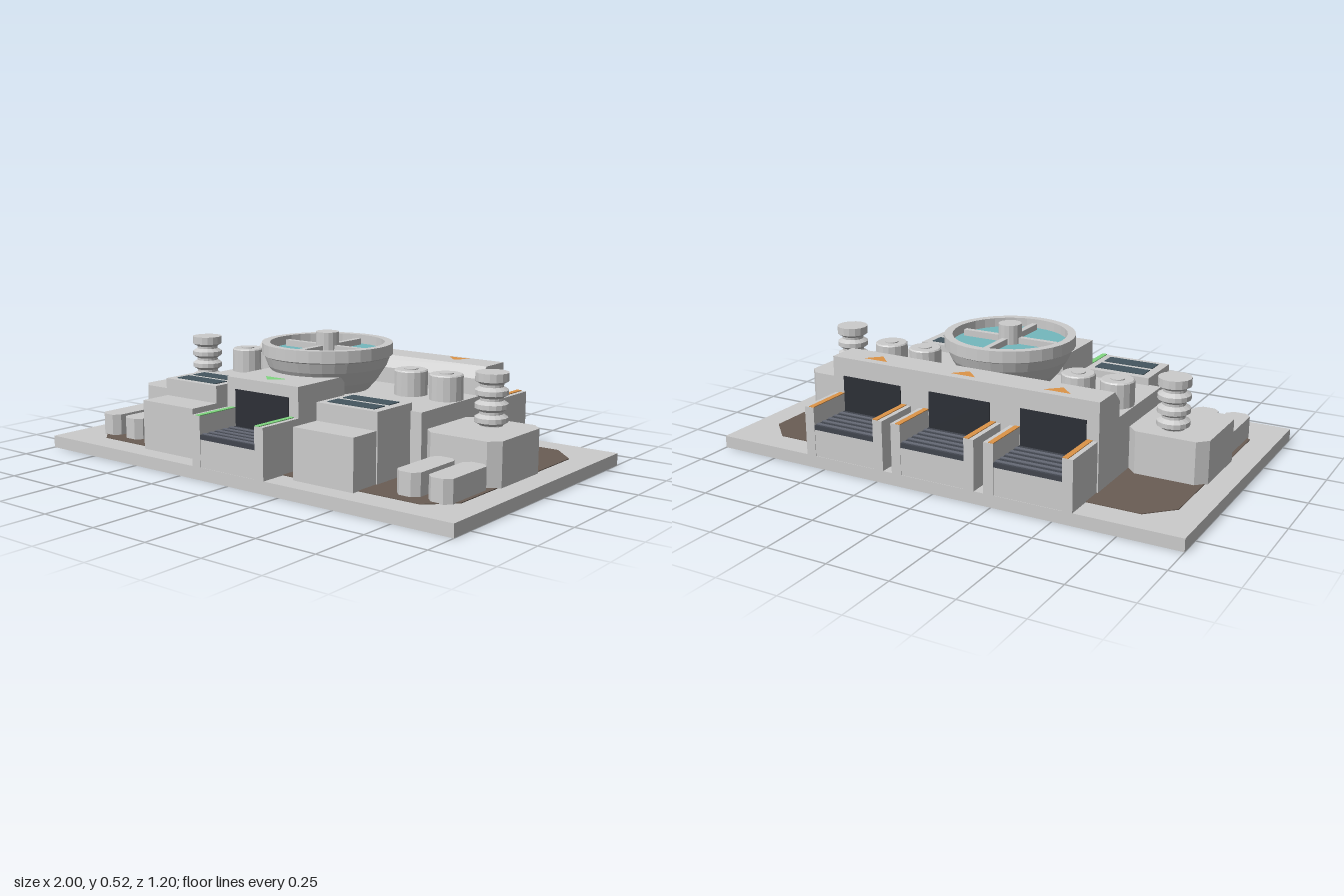
import * as THREE from 'three';

const mat = (color, extra = {}) => new THREE.MeshStandardMaterial({ color, ...extra });
const GREY = mat(0xcccccc, { flatShading: true });
const BROWN = mat(0x6a5d54);
const DARK = mat(0x2c2f36);
const BELT = mat(0x41454e);
const SLAT = mat(0x666a76);
const ORANGE = mat(0xdd9448);
const GREEN = mat(0x80d880);
const TEAL = mat(0x74b8be);
const SCREEN = mat(0x44565f);

function add(parent, name, geometry, material = GREY) {
  const mesh = new THREE.Mesh(geometry, material);
  mesh.name = name;
  parent.add(mesh);
  return mesh;
}

// Box given by its minimum and maximum along each axis
function box(parent, name, x0, x1, y0, y1, z0, z1, material) {
  const g = new THREE.BoxGeometry(x1 - x0, y1 - y0, z1 - z0);
  g.translate((x0 + x1) / 2, (y0 + y1) / 2, (z0 + z1) / 2);
  return add(parent, name, g, material);
}

// Upright block with its four vertical edges chamfered
function octBlock(parent, name, x, z, w, d, y0, y1, c, material) {
  const a = w / 2, b = d / 2;
  const shape = new THREE.Shape([
    [-a + c, -b], [a - c, -b], [a, -b + c], [a, b - c],
    [a - c, b], [-a + c, b], [-a, b - c], [-a, -b + c],
  ].map(p => new THREE.Vector2(...p)));
  const g = new THREE.ExtrudeGeometry(shape, { depth: y1 - y0, bevelEnabled: false });
  g.rotateX(-Math.PI / 2).translate(x, y0, z);
  return add(parent, name, g, material);
}

function lathe(parent, name, points, segments, material) {
  return add(parent, name, new THREE.LatheGeometry(points.map(p => new THREE.Vector2(...p)), segments), material);
}

// Flat marker whose tip points to +z
function arrow(parent, name, x, y, z, material) {
  const shape = new THREE.Shape([[-0.055, 0.027], [0, -0.027], [0.055, 0.027]].map(p => new THREE.Vector2(...p)));
  const g = new THREE.ShapeGeometry(shape).rotateX(-Math.PI / 2).translate(x, y, z);
  return add(parent, name, g, material);
}

// Conveyor port reaching from z = 0.4 out to z = 0.6
function port(name, accent) {
  const g = new THREE.Group();
  g.name = name;
  for (const s of [-1, 1]) {
    const xs = (a, b) => (s > 0 ? [a, b] : [-b, -a]);
    box(g, 'portSideWall', ...xs(0.138, 0.18), 0.05, 0.25, 0.4, 0.6);
    box(g, 'portAccentStrip', ...xs(0.138, 0.16), 0.25, 0.253, 0.4, 0.598, accent);
  }
  box(g, 'portSill', -0.138, 0.138, 0.05, 0.16, 0.4, 0.598);
  box(g, 'conveyorBelt', -0.138, 0.138, 0.16, 0.178, 0.4, 0.599, BELT);
  for (let i = 0; i < 5; i++) {
    const z = 0.425 + i * 0.037;
    box(g, 'beltSlat', -0.138, 0.138, 0.178, 0.181, z, z + 0.015, SLAT);
  }
  box(g, 'portOpening', -0.135, 0.135, 0.178, 0.325, 0.395, 0.404, DARK);
  return g;
}

export function createModel() {
  const model = new THREE.Group();
  model.name = 'factoryMachine';

  // Ground plate and worn floor
  box(model, 'basePlate', -1, 1, 0, 0.05, -0.6, 0.6);
  octBlock(model, 'floorPatch', 0, 0, 1.79, 0.98, 0.05, 0.053, 0.1, BROWN);

  // Main body with the raised back bank
  box(model, 'mainBody', -0.585, 0.585, 0.05, 0.29, -0.24, 0.18);
  const profile = new THREE.Shape([
    [-0.4, 0.05], [-0.225, 0.05], [-0.225, 0.355], [-0.27, 0.4], [-0.4, 0.4],
  ].map(p => new THREE.Vector2(...p)));
  const bank = new THREE.ExtrudeGeometry(profile, { depth: 1.17, bevelEnabled: false });
  bank.rotateY(-Math.PI / 2).translate(0.585, 0, 0);
  add(model, 'backBank', bank);

  // Three ports at the back, one at the front
  for (const x of [-0.4, 0, 0.4]) {
    const p = port('backPort', ORANGE);
    p.rotation.y = Math.PI;
    p.position.x = x;
    model.add(p);
    arrow(model, 'backArrow', x, 0.403, -0.345, ORANGE);
  }
  box(model, 'frontPortTower', -0.18, 0.18, 0.05, 0.37, 0.12, 0.4);
  model.add(port('frontPort', GREEN));
  arrow(model, 'frontArrow', 0, 0.373, 0.342, GREEN);

  // Central dish with a glazed top, cross bars and hub
  lathe(model, 'dish', [
    [0, 0.285], [0.165, 0.285], [0.205, 0.33], [0.24, 0.385], [0.255, 0.425],
    [0.265, 0.43], [0.265, 0.477], [0.232, 0.477], [0.232, 0.43],
  ], 32, mat(0xcccccc, { flatShading: true, side: THREE.DoubleSide }));
  const glass = new THREE.CircleGeometry(0.233, 32).rotateX(-Math.PI / 2).translate(0, 0.44, 0);
  add(model, 'dishGlass', glass, TEAL);
  box(model, 'dishBarAcross', -0.21, 0.21, 0.44, 0.465, -0.012, 0.012);
  box(model, 'dishBarAlong', -0.012, 0.012, 0.44, 0.465, -0.21, 0.21);
  add(model, 'dishHub', new THREE.CylinderGeometry(0.047, 0.047, 0.085, 16).translate(0, 0.4755, 0));

  // Parts mirrored on both sides
  for (const s of [-1, 1]) {
    const side = new THREE.Group();
    side.name = s > 0 ? 'leftSide' : 'rightSide';
    model.add(side);
    const xs = (a, b) => (s > 0 ? [a, b] : [-b, -a]);

    // Console with two screens and a lower box before it
    box(side, 'console', ...xs(0.255, 0.535), 0.05, 0.32, 0.17, 0.385);
    box(side, 'consoleFrontBox', ...xs(0.255, 0.53), 0.05, 0.25, 0.37, 0.52);
    for (const z of [0.2, 0.292]) {
      box(side, 'consoleScreen', ...xs(0.285, 0.5), 0.32, 0.323, z, z + 0.065, SCREEN);
    }

    // Round canisters
    for (const x of [0.35, 0.515]) {
      lathe(side, 'canister', [[0.067, 0.29], [0.067, 0.385], [0.062, 0.39], [0, 0.39]], 16)
        .position.set(s * x, 0, -0.09);
      add(side, 'canisterCap', new THREE.CylinderGeometry(0.028, 0.028, 0.006, 16))
        .position.set(s * x, 0.391, -0.09);
    }

    // Ribbed insulator on a chamfered tower
    octBlock(side, 'tower', s * 0.745, 0.008, 0.32, 0.345, 0.05, 0.222, 0.04);
    const ribs = [[0.045, 0.22]];
    for (let i = 0; i < 4; i++) {
      const y = 0.225 + i * 0.052;
      ribs.push([0.045, y], [0.064, y + 0.012], [0.064, y + 0.03], [0.045, y + 0.042]);
    }
    ribs.splice(-1, 1, [0.064, 0.425], [0, 0.425]);
    lathe(side, 'insulator', ribs, 16).position.set(s * 0.735, 0, -0.062);

    // Low chamfered tanks
    for (const x of [0.697, 0.83]) {
      octBlock(side, 'tank', s * x, 0.312, 0.1, 0.265, 0.05, 0.14, 0.025);
    }
  }
  return model;
}
